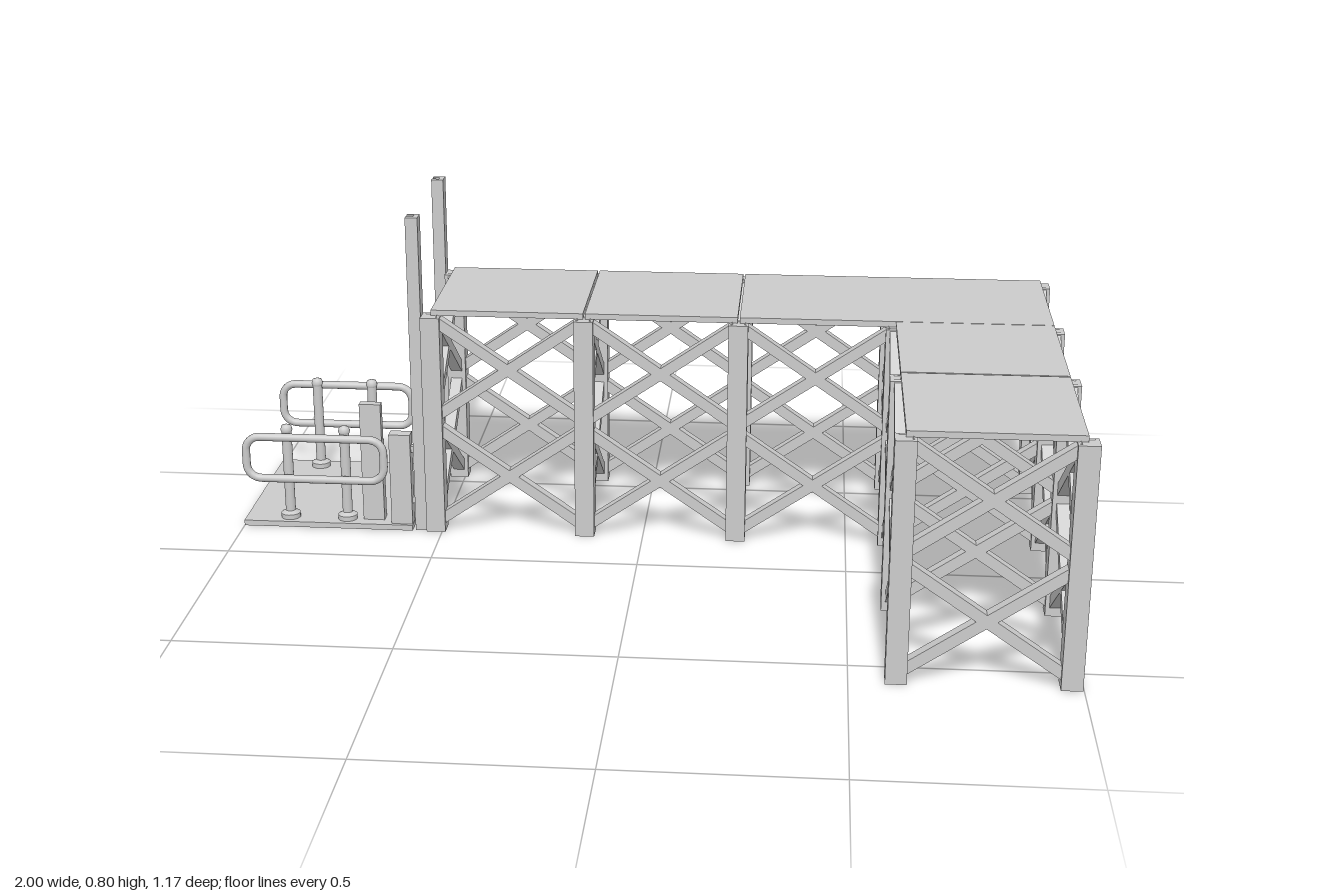
import * as THREE from 'three';

const X = [-0.515, -0.143, 0.229, 0.602, 0.974];
const Z = [-0.556, -0.184, 0.188, 0.56];
const LIFT_Z = -0.373;

export function createModel() {
  const model = new THREE.Group();
  const mat = new THREE.MeshStandardMaterial({ color: 0xcccccc });

  const add = (parent, name, geo, x = 0, y = 0, z = 0) => {
    const m = new THREE.Mesh(geo, mat);
    m.name = name;
    m.position.set(x, y, z);
    parent.add(m);
    return m;
  };
  // box given by its minimum and maximum corners
  const block = (parent, name, x0, x1, y0, y1, z0, z1) =>
    add(parent, name, new THREE.BoxGeometry(x1 - x0, y1 - y0, z1 - z0),
      (x0 + x1) / 2, (y0 + y1) / 2, (z0 + z1) / 2);
  const group = (name) => {
    const g = new THREE.Group();
    g.name = name;
    model.add(g);
    return g;
  };

  // L-shaped scaffold: bays as [column, row]
  const bays = [[0, 0], [1, 0], [2, 0], [3, 0], [3, 1], [3, 2]];
  const scaffold = group('scaffold');
  const postGeo = new THREE.BoxGeometry(0.047, 0.556, 0.047);
  const span = 0.372, rise = 0.257;
  const braceGeo = new THREE.BoxGeometry(Math.hypot(span, rise) - 0.02, 0.026, 0.028);
  const done = new Set();
  const once = (key) => !done.has(key) && done.add(key);

  // two stacked crosses between neighbouring posts
  const crossBrace = (ax, az, bx, bz) => {
    const side = new THREE.Group();
    side.name = 'crossBrace';
    side.position.set((ax + bx) / 2, 0, (az + bz) / 2);
    if (ax === bx) side.rotation.y = Math.PI / 2;
    for (const y of [0.149, 0.425]) {
      for (const s of [-1, 1]) {
        add(side, 'brace', braceGeo, 0, y, 0).rotation.z = s * Math.atan2(rise, span);
      }
    }
    scaffold.add(side);
  };

  for (const [i, j] of bays) {
    const corners = [[i, j], [i + 1, j], [i + 1, j + 1], [i, j + 1]];
    corners.forEach(([a, b], k) => {
      if (once(`p${a},${b}`)) add(scaffold, 'post', postGeo, X[a], 0.278, Z[b]);
      const [c, d] = corners[(k + 1) % 4];
      const key = `e${Math.min(a, c)},${Math.min(b, d)},${a === c}`;
      if (once(key)) crossBrace(X[a], Z[b], X[c], Z[d]);
    });
  }

  // deck boards with narrow seams
  const deck = group('deck');
  const gap = 0.0025;
  const board = (x0, x1, z0, z1) => block(deck, 'deckBoard', x0, x1, 0.556, 0.57, z0, z1);
  board(X[0], X[1] - gap, Z[0], Z[1]);
  board(X[1] + gap, X[2] - gap, Z[0], Z[1]);
  board(X[2] + gap, X[4], Z[0], Z[1]);
  board(X[3], X[4], Z[1] + gap, Z[2] - gap);
  board(X[3], X[4], Z[2] + gap, Z[3]);

  // lift platform
  const lift = group('lift');
  block(lift, 'platform', -1, -0.574, 0, 0.014, -0.584, -0.162);

  // masts: channels open toward the platform
  const channel = new THREE.Shape([
    [-0.015, -0.0185], [0.015, -0.0185], [0.015, 0.0185], [-0.015, 0.0185],
    [-0.015, 0.007], [0.003, 0.007], [0.003, -0.007], [-0.015, -0.007],
  ].map(([x, y]) => new THREE.Vector2(x, y)));
  const mastGeo = new THREE.ExtrudeGeometry(channel, { depth: 0.803, bevelEnabled: false });
  mastGeo.rotateX(-Math.PI / 2);

  // handrail: a closed rounded loop
  const x0 = -0.988, x1 = -0.643, y0 = 0.125, y1 = 0.234, r = 0.035;
  const loop = [];
  [[x1 - r, y1 - r], [x0 + r, y1 - r], [x0 + r, y0 + r], [x1 - r, y0 + r]].forEach(([cx, cy], q) => {
    for (let k = 0; k <= 6; k++) {
      const a = (q + k / 6) * Math.PI / 2;
      loop.push(new THREE.Vector3(cx + r * Math.cos(a), cy + r * Math.sin(a), 0));
    }
  });
  const path = new THREE.CurvePath();
  loop.forEach((p, i) => path.add(new THREE.LineCurve3(p, loop[(i + 1) % loop.length])));
  const railGeo = new THREE.TubeGeometry(path, 120, 0.01, 10, true);

  // stanchion with base flange and domed cap
  const stanchionGeo = new THREE.LatheGeometry([
    [0.024, 0], [0.024, 0.013], [0.024, 0.013], [0.017, 0.017], [0.017, 0.017], [0.0125, 0.02], [0.0125, 0.02],
    [0.0125, 0.228], [0.0125, 0.228], [0.015, 0.234], [0.012, 0.244], [0, 0.249],
  ].map(([x, y]) => new THREE.Vector2(x, y)), 16);
  const clampGeo = new THREE.CylinderGeometry(0.007, 0.007, 0.024, 10).rotateX(Math.PI / 2);

  for (const s of [-1, 1]) {
    add(lift, 'mast', mastGeo, -0.552, 0, LIFT_Z + s * 0.187);
    const zb = LIFT_Z + s * 0.187;
    block(lift, 'carriage', -0.628, -0.575, 0.014, 0.25, zb - 0.016, zb + 0.016);
    for (const y of [0.075, 0.21]) {
      block(lift, 'guideShoe', -0.578, -0.55, y - 0.008, y + 0.008, zb - 0.006, zb + 0.006);
    }
    add(lift, 'handrail', railGeo, 0, 0, LIFT_Z + s * 0.2);
    for (const x of [-0.889, -0.744]) {
      add(lift, 'stanchion', stanchionGeo, x, 0.013, LIFT_Z + s * 0.176);
      for (const y of [y0, y1]) add(lift, 'railClamp', clampGeo, x, y, LIFT_Z + s * 0.19);
    }
  }

  // control console with button and lever
  const control = group('console');
  block(control, 'consolePost', -0.703, -0.65, 0.014, 0.22, -0.222, -0.192);
  block(control, 'consoleHead', -0.703, -0.65, 0.22, 0.32, -0.214, -0.192);
  const stem = new THREE.CylinderGeometry(0.008, 0.008, 0.016, 12).rotateX(Math.PI / 2);
  add(control, 'buttonStem', stem, -0.676, 0.297, -0.219);
  add(control, 'button', new THREE.SphereGeometry(0.017, 16, 12), -0.676, 0.297, -0.229).scale.z = 0.65;
  const lever = new THREE.CylinderGeometry(0.006, 0.006, 0.034, 10);
  add(control, 'lever', lever, -0.676, 0.246, -0.225).rotation.x = -1.0;

  return model;
}
